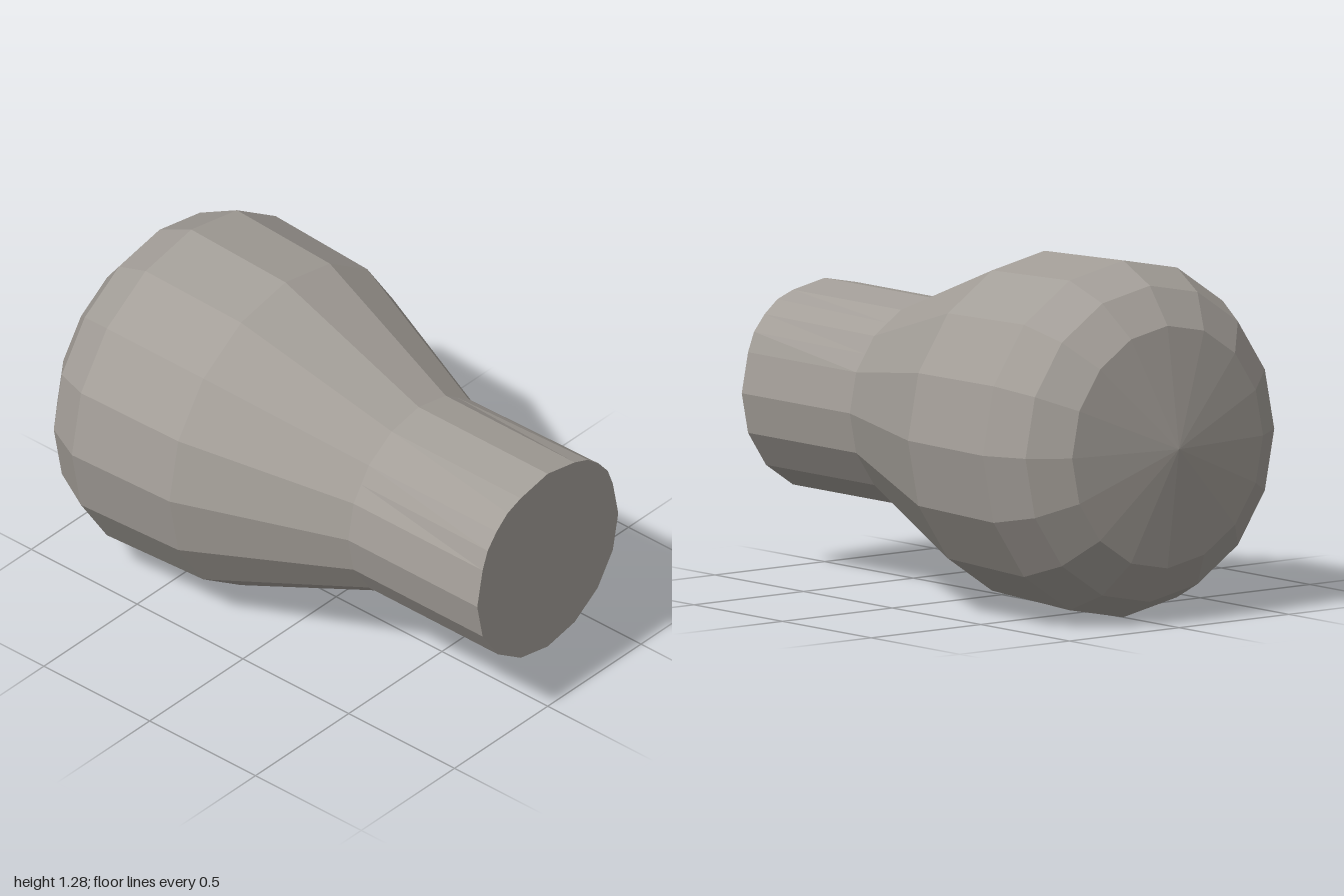
import * as THREE from 'three';

const AXIS_HEIGHT = 0.644;
const SHAFT_RADIUS = 0.378;
const SHAFT_BACK = 0.39;

// Separate the faces so that each one is shaded flat
function facet(geometry) {
  const flat = geometry.toNonIndexed();
  flat.computeVertexNormals();
  return flat;
}

// Sixteen-sided bulb, turned around the z axis
function bulbGeometry() {
  const profile = [
    [0, -1], [0.435, -0.935], [0.567, -0.835], [0.64, -0.685],
    [0.622, -0.24], [SHAFT_RADIUS, SHAFT_BACK],
  ].map(([r, z]) => new THREE.Vector2(r, z));
  return facet(new THREE.LatheGeometry(profile, 16).rotateX(Math.PI / 2));
}

// Closed shaft: sixteen flat sides, slightly fuller at the upper corners of its front end
function shaftGeometry() {
  const length = 1 - SHAFT_BACK;
  const geometry = new THREE.CylinderGeometry(SHAFT_RADIUS, SHAFT_RADIUS, length, 32);
  geometry.rotateX(Math.PI / 2).translate(0, 0, SHAFT_BACK + length / 2);
  const p = geometry.attributes.position;
  for (let i = 0; i < p.count; i++) {
    const x = p.getX(i), y = p.getY(i);
    if (Math.hypot(x, y) < 0.01) continue;
    const step = Math.round(Math.atan2(y, Math.abs(x)) / (Math.PI / 16));
    let scale = step % 2 ? Math.cos(Math.PI / 16) : 1;
    if (p.getZ(i) > 0.9 && step >= 3 && step <= 5) scale = 1.025;
    p.setXY(i, x * scale, y * scale);
  }
  return facet(geometry);
}

export function createModel() {
  const warmGrey = new THREE.MeshStandardMaterial({ color: 0xa39e98 });
  warmGrey.name = 'warm grey';

  const model = new THREE.Group();
  model.name = 'knob';
  const parts = { bulb: bulbGeometry(), shaft: shaftGeometry() };
  for (const [name, geometry] of Object.entries(parts)) {
    const mesh = new THREE.Mesh(geometry, warmGrey);
    mesh.name = name;
    mesh.position.y = AXIS_HEIGHT;
    model.add(mesh);
  }
  return model;
}
